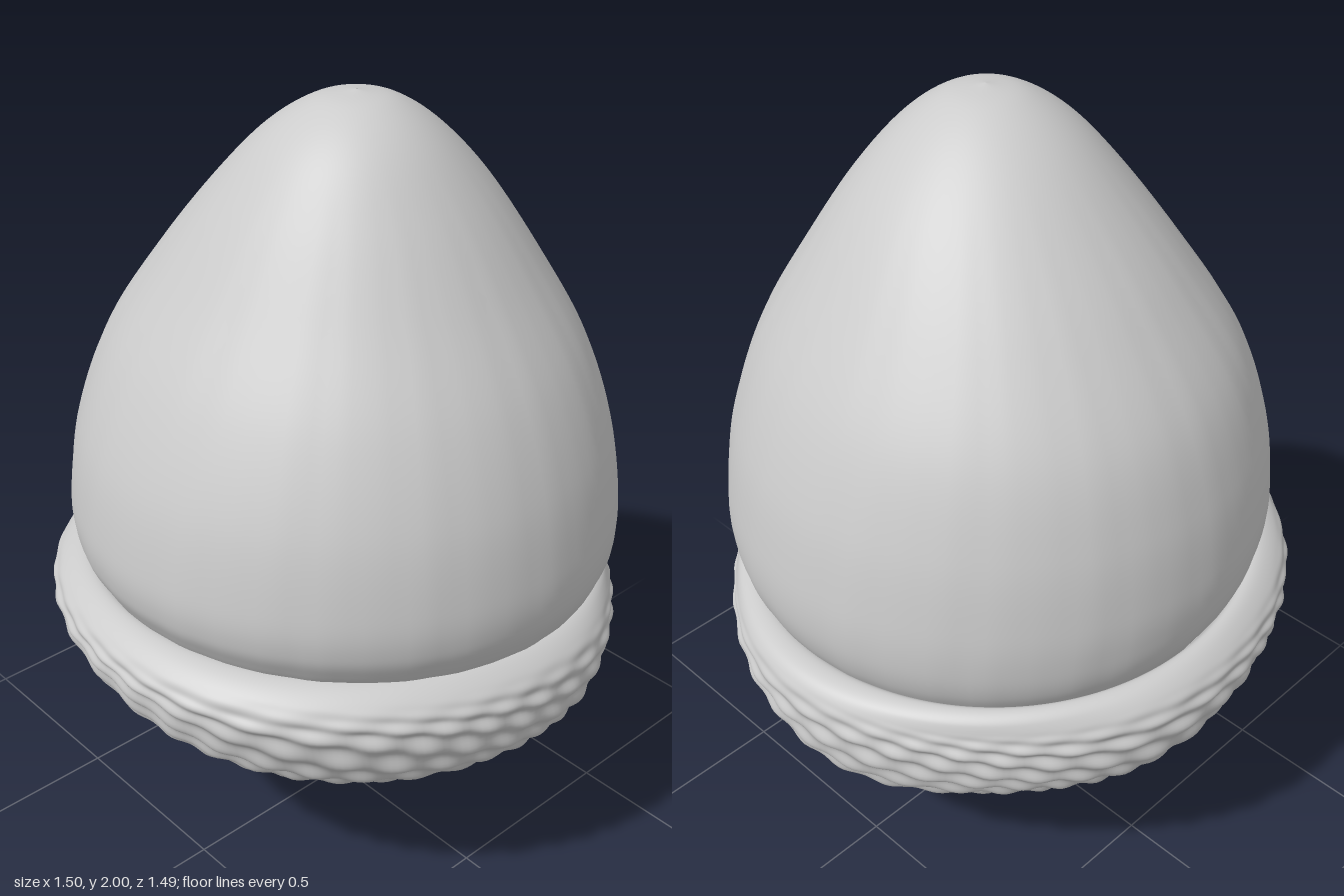
import * as THREE from 'three';

const material = new THREE.MeshStandardMaterial({ color: 0xcccccc, side: THREE.DoubleSide });

// Skins a stack of tilted rings, listed top to bottom.
// Ring: [left x, left y, right x, right y, half depth, centre z]
// power: 1 gives elliptical rings, less gives squarer ones.
// relief(a, t, z) returns a push along the normal.
function skin(name, rings, around, down, power, relief) {
  const curve = (pick) => new THREE.CatmullRomCurve3(
    rings.map((r) => new THREE.Vector3(...pick.map((k) => r[k]))), false, 'catmullrom', 0.5);
  const leftCurve = curve([0, 1, 4]);
  const rightCurve = curve([2, 3, 5]);
  const bend = (c) => Math.sign(c) * Math.abs(c) ** power;
  const points = [], index = [];
  for (let i = 0; i <= down; i++) {
    const l = leftCurve.getPoint(i / down), r = rightCurve.getPoint(i / down);
    for (let j = 0; j < around; j++) {
      const a = (j / around) * Math.PI * 2;
      const k = (1 + bend(Math.cos(a))) / 2;
      points.push(l.x + (r.x - l.x) * k, l.y + (r.y - l.y) * k, r.z + l.z * bend(Math.sin(a)));
      if (i < down) {
        const p = i * around + j, q = i * around + ((j + 1) % around);
        index.push(p, q, p + around, q, q + around, p + around);
      }
    }
  }
  const geometry = new THREE.BufferGeometry();
  geometry.setAttribute('position', new THREE.Float32BufferAttribute(points, 3));
  geometry.setIndex(index);
  geometry.computeVertexNormals();
  const pos = geometry.attributes.position, nor = geometry.attributes.normal;
  for (let v = 0; v < pos.count; v++) {
    const a = ((v % around) / around) * Math.PI * 2;
    const t = Math.floor(v / around) / down;
    const d = relief(a, t, pos.getZ(v));
    pos.setXYZ(v, pos.getX(v) + nor.getX(v) * d, pos.getY(v) + nor.getY(v) * d,
      pos.getZ(v) + nor.getZ(v) * d);
  }
  geometry.computeVertexNormals();
  const mesh = new THREE.Mesh(geometry, material);
  mesh.name = name;
  return mesh;
}

export function createModel() {
  const model = new THREE.Group();
  model.name = 'acorn';
  const { smoothstep } = THREE.MathUtils;

  // Smooth nut with faint lengthwise streaks, its tip leaning slightly forward
  model.add(skin('nut', [
    [-0.016, 2.0, -0.014, 2.0, 0.001, 0.07],
    [-0.115, 1.979, 0.085, 1.979, 0.1, 0.068],
    [-0.22, 1.907, 0.195, 1.907, 0.208, 0.06],
    [-0.325, 1.78, 0.32, 1.78, 0.325, 0.045],
    [-0.445, 1.6, 0.45, 1.6, 0.46, 0.025],
    [-0.57, 1.4, 0.57, 1.4, 0.588, 0.015],
    [-0.655, 1.2, 0.645, 1.2, 0.66, 0.018],
    [-0.69, 1.02, 0.68, 1.02, 0.69, 0.02],
    [-0.687, 0.92, 0.687, 0.9, 0.69, 0.02],
    [-0.66, 0.855, 0.67, 0.81, 0.67, 0.015],
    [-0.62, 0.79, 0.63, 0.73, 0.63, 0.01],
  ], 128, 80, 1, (a, t) =>
    0.0012 * Math.sin(31 * a + 2 * Math.sin(4 * t)) * Math.sin(7 * a) * smoothstep(t, 0.2, 0.5)));

  // Cap with a rolled rim and spiralling rows of scales, a little flatter on its left corners
  model.add(skin('cap', [
    [-0.61, 0.79, 0.62, 0.73, 0.62, 0],
    [-0.645, 0.832, 0.655, 0.773, 0.65, 0],
    [-0.695, 0.825, 0.71, 0.765, 0.69, 0],
    [-0.738, 0.785, 0.738, 0.72, 0.73, 0],
    [-0.742, 0.72, 0.74, 0.645, 0.738, 0],
    [-0.69, 0.6, 0.715, 0.54, 0.705, 0],
    [-0.61, 0.505, 0.655, 0.43, 0.625, 0],
    [-0.5, 0.425, 0.56, 0.34, 0.51, 0],
    [-0.35, 0.345, 0.43, 0.265, 0.38, 0],
    [-0.22, 0.28, 0.28, 0.21, 0.24, 0],
    [-0.02, 0.24, 0.04, 0.22, 0.02, 0],
  ], 288, 150, 1, (a, t) => {
    const fade = smoothstep(t, 0.24, 0.42) * (1 - smoothstep(t, 0.8, 0.92));
    const drift = 0.8 * Math.sin(5 * a + 9 * t) + 0.5 * Math.sin(3 * a - 14 * t);
    const rows = Math.sin(14 * a + 95 * t + drift);
    const crossing = Math.sin(31 * a - 42 * t + drift);
    const waver = 0.004 * Math.sin(5 * a + 1) * smoothstep(t, 0.1, 0.3) * (1 - t);
    const flat = 0.028 * Math.sin(2 * a) ** 2 * smoothstep(Math.cos(a), 0, 0.5)
      * smoothstep(t, 0.08, 0.3) * (1 - smoothstep(t, 0.6, 0.9));
    return fade * (0.0055 * rows + 0.004 * crossing) + waver - flat;
  }));

  // Wedge-shaped stem stub, with a shallow hollow on each side of its end
  model.add(skin('stem', [
    [-0.3, 0.36, 0.33, 0.28, 0.3, 0.005],
    [-0.21, 0.275, 0.27, 0.21, 0.262, 0.01],
    [-0.13, 0.205, 0.24, 0.18, 0.248, 0.01],
    [-0.04, 0.13, 0.225, 0.12, 0.247, 0.01],
    [0.03, 0.075, 0.19, 0.07, 0.235, 0.01],
    [0.08, 0.032, 0.17, 0.03, 0.205, 0.01],
    [0.11, 0.008, 0.15, 0.008, 0.14, 0.01],
    [0.127, 0, 0.131, 0, 0.03, 0.01],
  ], 128, 60, 0.65, (a, t, z) => {
    const across = 1 - smoothstep(Math.abs(z - 0.01), 0.09, 0.15);
    const along = smoothstep(t, 0.47, 0.57) * (1 - smoothstep(t, 0.62, 0.74));
    return -0.026 * across * along;
  }));

  return model;
}
